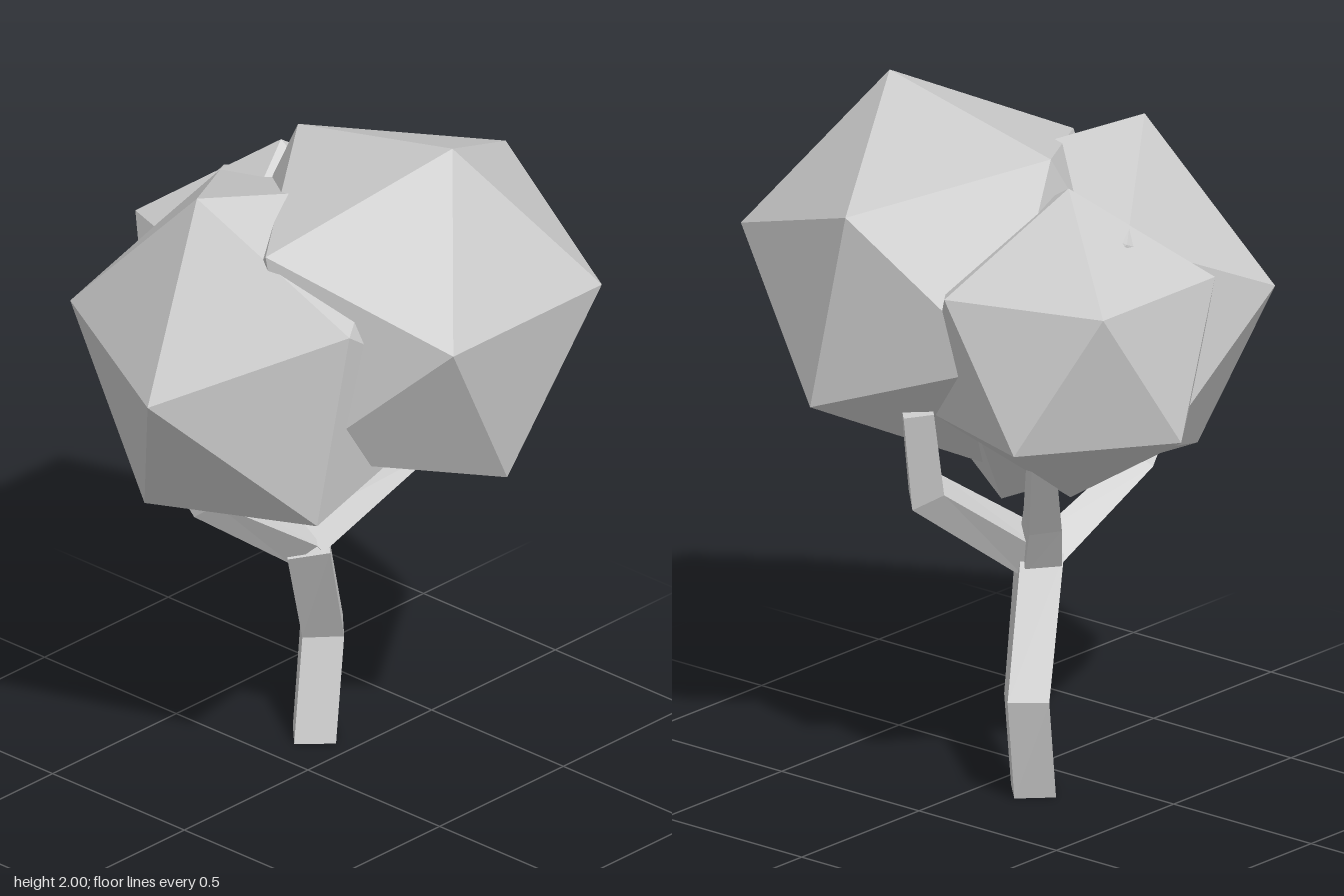
import * as THREE from 'three';

const V = (p) => new THREE.Vector3(...p);
const SIDES = 4;

const material = () => new THREE.MeshStandardMaterial({ color: 0xcccccc, flatShading: true });

// Icosahedron clump, turned so that one of its edges runs from a to b
function foliage(name, radius, centre, a, b) {
  const mesh = new THREE.Mesh(new THREE.IcosahedronGeometry(radius, 0), material());
  const c = V(centre);
  const x = V(b).sub(V(a)).normalize();
  const y = V(a).add(V(b)).multiplyScalar(0.5).sub(c);
  y.addScaledVector(x, -y.dot(x)).normalize();
  const z = x.clone().cross(y);
  mesh.quaternion.setFromRotationMatrix(new THREE.Matrix4().makeBasis(x, y, z));
  mesh.position.copy(c);
  mesh.name = name;
  return mesh;
}

// Bent four-sided limb swept through points, each [x, y, z, radius]
function limb(name, points, startDir) {
  const centres = points.map((p) => V(p.slice(0, 3)));
  const last = points.length - 1;
  const verts = [];
  const index = [];
  centres.forEach((c, i) => {
    const t = new THREE.Vector3();
    if (i > 0) t.add(c.clone().sub(centres[i - 1]).normalize());
    if (i < last) t.add(centres[i + 1].clone().sub(c).normalize());
    if (i === 0 && startDir) t.copy(V(startDir));
    t.normalize();
    const u = new THREE.Vector3(1, 0, 0).addScaledVector(t, -t.x).normalize();
    const v = t.clone().cross(u);
    for (let j = 0; j < SIDES; j++) {
      const ang = (j / SIDES) * Math.PI * 2;
      const p = c.clone()
        .addScaledVector(u, Math.cos(ang) * points[i][3])
        .addScaledVector(v, Math.sin(ang) * points[i][3]);
      verts.push(p.x, p.y, p.z);
      if (i < last) {
        const p0 = i * SIDES + j;
        const p1 = i * SIDES + ((j + 1) % SIDES);
        index.push(p0, p1, p1 + SIDES, p0, p1 + SIDES, p0 + SIDES);
      }
    }
  });
  // End caps
  const e = last * SIDES;
  index.push(0, 2, 1, 0, 3, 2, e, e + 1, e + 2, e, e + 2, e + 3);
  const geo = new THREE.BufferGeometry();
  geo.setAttribute('position', new THREE.Float32BufferAttribute(verts, 3));
  geo.setIndex(index);
  const flat = geo.toNonIndexed();
  flat.computeVertexNormals();
  const mesh = new THREE.Mesh(flat, material());
  mesh.name = name;
  return mesh;
}

export function createModel() {
  const tree = new THREE.Group();
  tree.name = 'tree';

  // Crooked trunk
  tree.add(limb('trunk', [
    [-0.135, 0, -0.17, 0.082],
    [-0.17, 0.3, -0.24, 0.082],
    [-0.08, 0.66, -0.08, 0.085],
  ], [0, 1, 0]));

  // Branches fanning out from the fork
  tree.add(limb('frontBranch', [
    [-0.09, 0.66, -0.07, 0.075],
    [-0.17, 0.87, 0.24, 0.055],
    [-0.18, 1.0, 0.33, 0.04],
  ]));
  tree.add(limb('backBranch', [
    [-0.08, 0.66, -0.09, 0.075],
    [0.05, 0.9, -0.41, 0.07],
    [0.04, 1.16, -0.46, 0.06],
  ]));
  tree.add(limb('sideBranch', [
    [-0.09, 0.65, -0.09, 0.075],
    [-0.16, 0.8, -0.16, 0.065],
    [-0.3, 1.1, -0.33, 0.045],
  ]));

  // Three overlapping clumps of leaves
  tree.add(foliage('largeFoliage', 0.571, [0.195, 1.463, -0.175],
    [-0.2, 1.873, -0.175], [0.38, 2.0, -0.175]));
  tree.add(foliage('frontFoliage', 0.571, [-0.055, 1.336, 0.092],
    [-0.12, 1.855, 0.32], [0.01, 1.37, 0.66]));
  tree.add(foliage('smallFoliage', 0.453, [-0.27, 1.35, -0.175],
    [-0.265, 1.803, -0.175], [0.136, 1.551, -0.175]));

  return tree;
}
